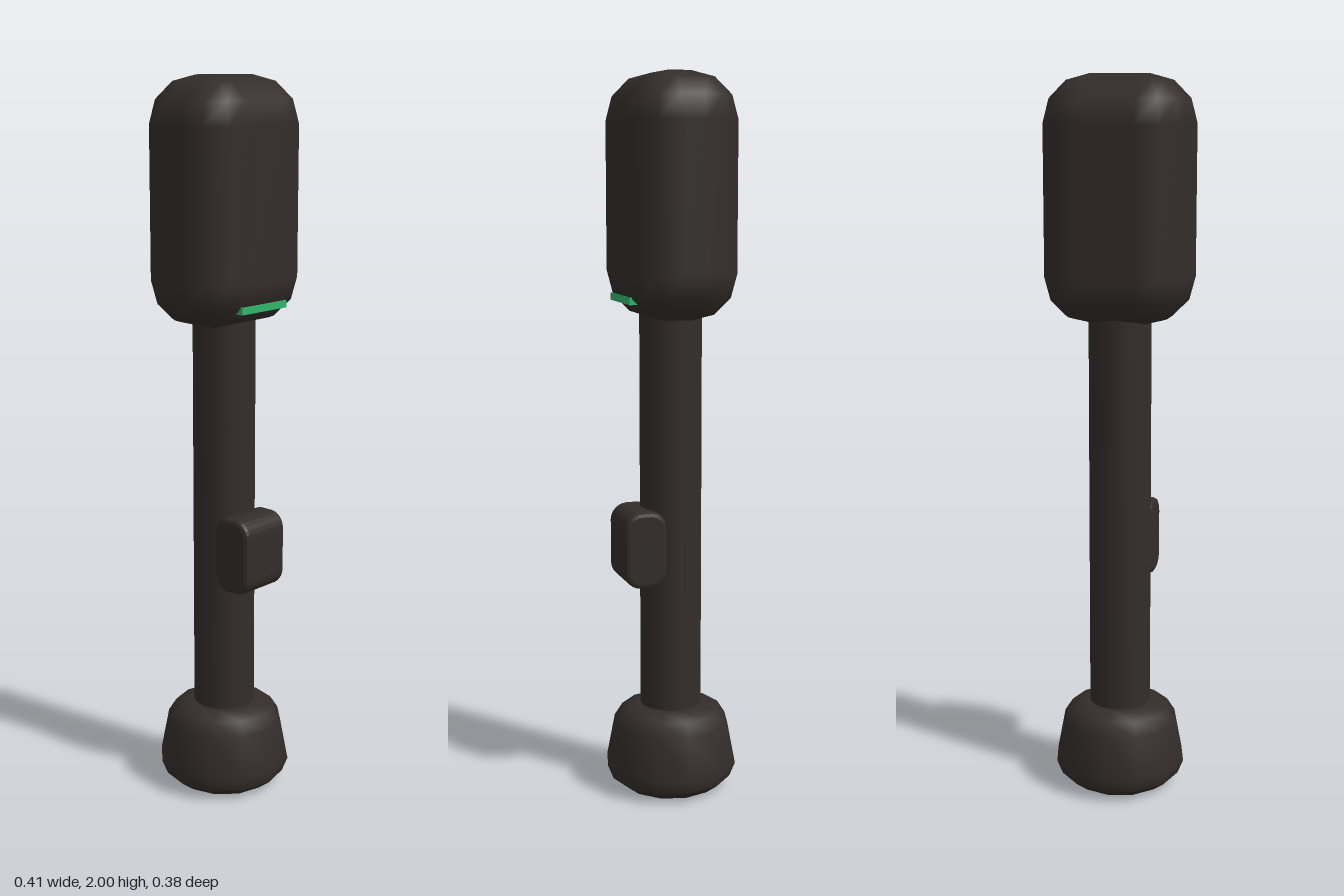
import * as THREE from 'three';

const dark = new THREE.MeshStandardMaterial({ color: 0x332d2a });
const green = new THREE.MeshStandardMaterial({ color: 0x2fb56a });

// Box with rounded edges of radius r, three facets per quarter turn, smooth normals
function bevelledBox(w, h, d, r) {
  const pos = [], nor = [], idx = [], n = 3, ring = 4 * (n + 1), rows = 2 * (n + 1);
  const quarter = Math.PI / 2;
  for (let j = 0; j < rows; j++) {
    const top = j > n;
    const lat = -quarter + (top ? j - 1 : j) * quarter / n;
    for (let i = 0; i < ring; i++) {
      const q = Math.floor(i / (n + 1));
      const a = q * quarter + (i % (n + 1)) * quarter / n;
      const nx = Math.cos(lat) * Math.cos(a), ny = Math.sin(lat), nz = Math.cos(lat) * Math.sin(a);
      const sx = q === 0 || q === 3 ? 1 : -1, sz = q < 2 ? 1 : -1, sy = top ? 1 : -1;
      pos.push(sx * (w / 2 - r) + nx * r, sy * (h / 2 - r) + ny * r, sz * (d / 2 - r) + nz * r);
      nor.push(nx, ny, nz);
    }
  }
  for (let j = 0; j < rows - 1; j++) {
    for (let i = 0; i < ring; i++) {
      const a = j * ring + i, b = j * ring + (i + 1) % ring;
      idx.push(a, a + ring, b, b, a + ring, b + ring);
    }
  }
  // flat bottom and top
  const m = n + 1, t = (rows - 1) * ring;
  idx.push(0, m, 2 * m, 0, 2 * m, 3 * m);
  idx.push(t, t + 2 * m, t + m, t, t + 3 * m, t + 2 * m);
  const g = new THREE.BufferGeometry();
  g.setAttribute('position', new THREE.Float32BufferAttribute(pos, 3));
  g.setAttribute('normal', new THREE.Float32BufferAttribute(nor, 3));
  g.setIndex(idx);
  return g;
}

// Rounded rectangle centred on the origin
function roundedRect(w, h, r) {
  const s = new THREE.Shape();
  [[1, 1], [-1, 1], [-1, -1], [1, -1]].forEach(([sx, sy], q) => {
    s.absarc(sx * (w / 2 - r), sy * (h / 2 - r), r, q * Math.PI / 2, (q + 1) * Math.PI / 2, false);
  });
  return s;
}

const lathe = (points) =>
  new THREE.LatheGeometry(points.map(([x, y]) => new THREE.Vector2(x, y)), 12);

export function createModel() {
  const group = new THREE.Group();
  const add = (name, geometry, material, x, y, z) => {
    const mesh = new THREE.Mesh(geometry, material);
    mesh.name = name;
    mesh.position.set(x, y, z);
    group.add(mesh);
    return mesh;
  };

  // Head and its indicator light
  add('head', bevelledBox(0.405, 0.658, 0.316, 0.127), dark, 0, 1.671, 0);
  add('indicatorLight', new THREE.BoxGeometry(0.18, 0.02, 0.03), green, 0, 1.4, 0.13);

  // Handle
  add('handle', new THREE.CylinderGeometry(0.086, 0.086, 1.24, 24), dark, 0, 0.8, 0);

  // Push button: side outline swept across the handle with a small bevel
  const bevel = 0.012;
  const buttonGeometry = new THREE.ExtrudeGeometry(
    roundedRect(0.12 - 2 * bevel, 0.215 - 2 * bevel, 0.035), {
      depth: 0.16 - 2 * bevel, bevelEnabled: true, bevelThickness: bevel,
      bevelSize: bevel, bevelSegments: 2, curveSegments: 3,
    });
  buttonGeometry.translate(0, 0, -(0.16 - 2 * bevel) / 2);
  buttonGeometry.rotateY(Math.PI / 2);
  add('button', buttonGeometry, dark, 0, 0.712, 0.095);

  // Twelve-sided foot: shell and underside meet in a crease
  add('baseShell', lathe([[0.172, 0.03], [0.188, 0.07], [0.165, 0.19], [0.142, 0.226],
    [0.1, 0.244], [0, 0.244]]), dark, 0, 0, 0);
  add('baseUnderside', lathe([[0, 0], [0.135, 0.002], [0.172, 0.03]]), dark, 0, 0, 0);

  return group;
}
